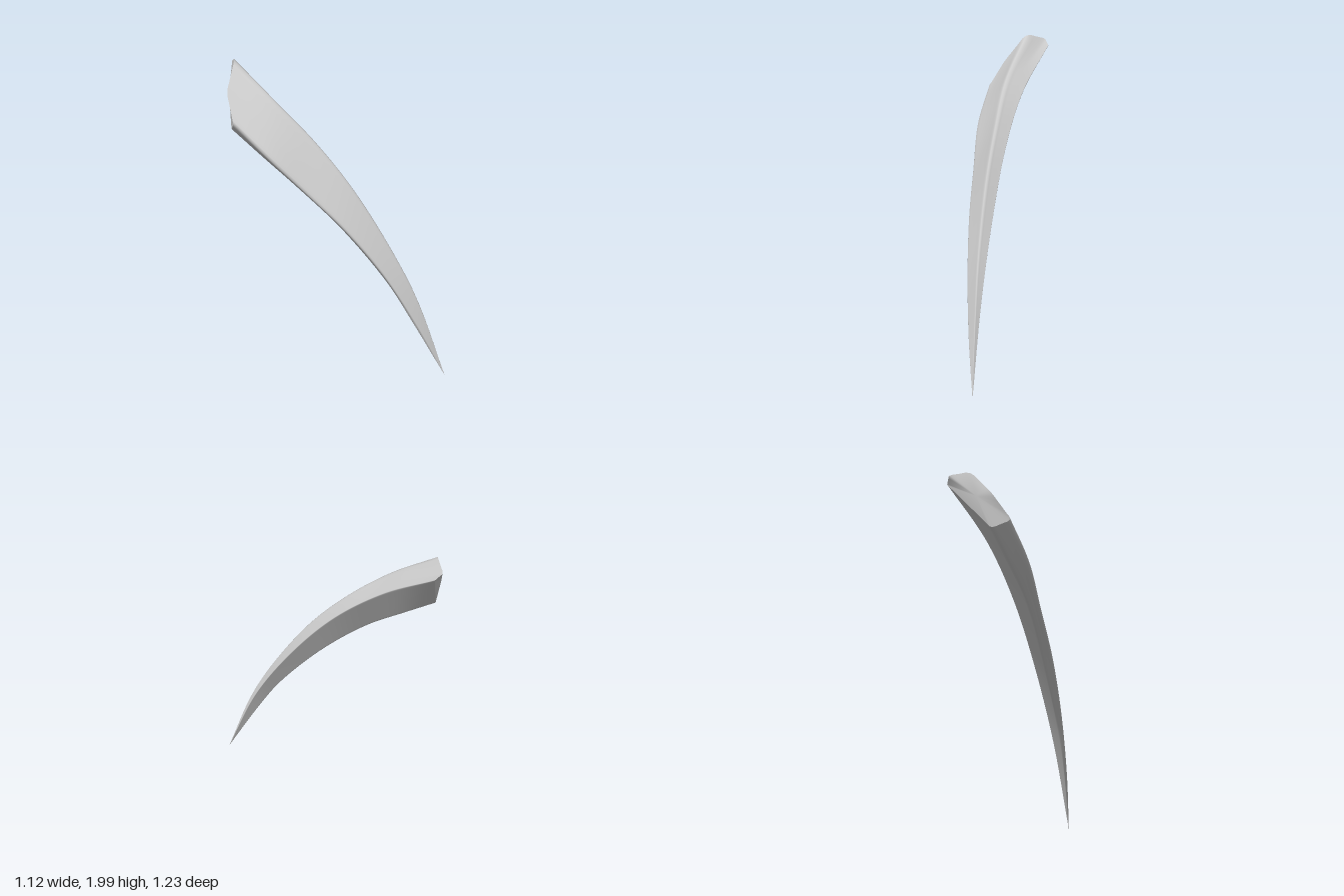
import * as THREE from 'three';

const V = (p) => new THREE.Vector3(...p);
const TIP = [0.565, 0, 0.618];
const curve = (pts) => new THREE.CatmullRomCurve3([...pts, TIP].map(V), false, 'centripetal');

// Four long ridges, each running from the blunt end down to the tip
const back = curve([[-0.37, 1.92, -0.61], [-0.2, 1.67, -0.28], [0, 1.38, -0.01], [0.2, 1.02, 0.22], [0.4, 0.56, 0.44]]);
const crest = curve([[-0.45, 2, -0.48], [-0.28, 1.76, -0.2], [-0.1, 1.53, 0], [0.09, 1.23, 0.2], [0.3, 0.8, 0.4], [0.42, 0.5, 0.5]]);
const front = curve([[-0.56, 1.63, -0.235], [-0.4, 1.43, -0.04], [-0.2, 1.21, 0.12], [0, 0.98, 0.28], [0.2, 0.7, 0.42], [0.4, 0.34, 0.54]]);
const under = curve([[-0.53, 1.56, -0.36], [-0.4, 1.42, -0.2], [-0.23, 1.24, 0], [0, 0.98, 0.2], [0.24, 0.63, 0.4], [0.37, 0.38, 0.5]]);

// Rounding of each corner, as fractions of the edges before and after it
const ROUND = [[0.06, 0.08], [0.3, 0.3], [0.45, 0.35], [0.3, 0.3], [0.25, 0.4], [0.4, 0.08]];
const STEPS = 48, ARC = 4;

// Midpoint of two ridges, swelling outward close to the blunt end
function between(a, b, end, t) {
  const mid = a.getPointAt(t).lerp(b.getPointAt(t), 0.5);
  const swell = V(end).sub(a.getPointAt(0).lerp(b.getPointAt(0), 0.5));
  return mid.addScaledVector(swell, Math.max(0, 1 - t / 0.12));
}

// Rounded cross-section at t, from blunt end (0) to tip (1)
function section(t) {
  const c = [
    back.getPointAt(t), between(back, crest, [-0.42, 1.96, -0.615], t),
    crest.getPointAt(t), between(crest, front, [-0.55, 1.81, -0.37], t),
    front.getPointAt(t), under.getPointAt(t),
  ];
  const ring = [];
  c.forEach((p, i) => {
    const a = p.clone().lerp(c[(i + 5) % 6], ROUND[i][0]);
    const b = p.clone().lerp(c[(i + 1) % 6], ROUND[i][1]);
    // push the control point out so the rounded corner still reaches the ridge
    const ctrl = p.clone().multiplyScalar(1.5).addScaledVector(a, -0.25).addScaledVector(b, -0.25);
    ring.push(...new THREE.QuadraticBezierCurve3(a, ctrl, b).getPoints(ARC));
  });
  return ring;
}

function geometry(points, index) {
  const g = new THREE.BufferGeometry().setFromPoints(points);
  g.setIndex(index);
  g.computeVertexNormals();
  return g;
}

export function createModel() {
  const group = new THREE.Group();
  group.name = 'horn';
  const material = new THREE.MeshStandardMaterial({ color: 0xcccccc });

  // Curved, tapering body
  const points = [], index = [];
  for (let j = 0; j <= STEPS; j++) points.push(...section(j / STEPS));
  const n = points.length / (STEPS + 1);
  for (let j = 0; j < STEPS; j++) {
    for (let i = 0; i < n; i++) {
      const a = j * n + i, b = j * n + ((i + 1) % n);
      index.push(a, b, a + n, b, b + n, a + n);
    }
  }
  const body = new THREE.Mesh(geometry(points, index), material);
  body.name = 'hornBody';
  group.add(body);

  // Slightly domed blunt end
  const rim = points.slice(0, n), fan = [];
  for (let i = 0; i < n; i++) fan.push(n, (i + 1) % n, i);
  const cap = new THREE.Mesh(geometry([...rim, V([-0.505, 1.79, -0.455])], fan), material);
  cap.name = 'bluntEnd';
  group.add(cap);
  return group;
}
